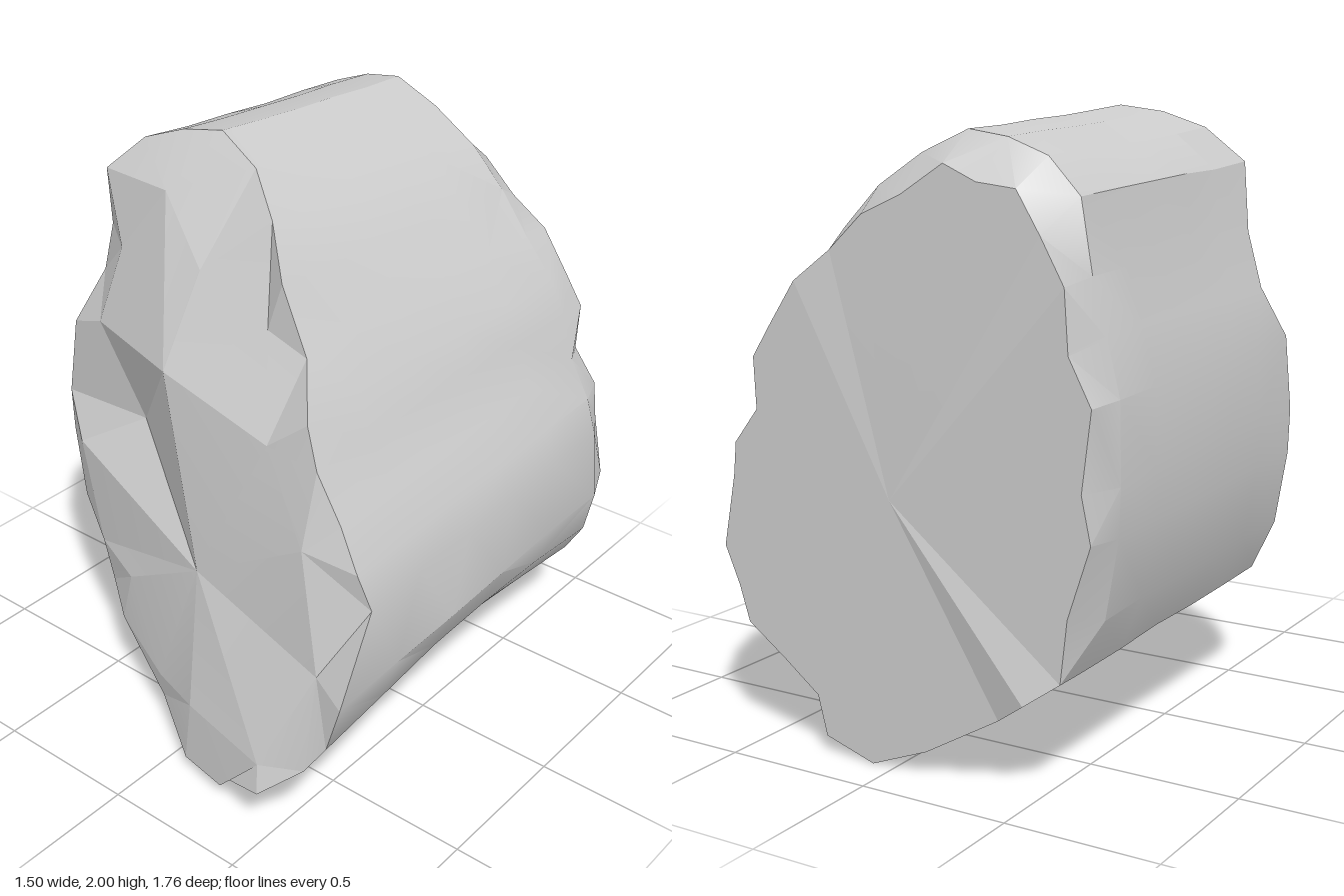
import * as THREE from 'three';
import { toCreasedNormals } from 'three/addons/utils/BufferGeometryUtils.js';

// Rim of the broken front face, counter-clockwise from the bottom: x, y, z
const RIM = [
  [0.08, 0.05, 0.76], [0.27, 0.06, 0.80], [0.33, 0.13, 0.82], [0.50, 0.21, 0.88],
  [0.64, 0.34, 0.82], [0.71, 0.45, 0.80], [0.745, 0.60, 0.78], [0.72, 0.85, 0.60],
  [0.68, 0.97, 0.62], [0.60, 1.10, 0.60], [0.51, 1.25, 0.60], [0.45, 1.37, 0.57],
  [0.34, 1.50, 0.44], [0.23, 1.70, 0.42], [0.10, 1.83, 0.31], [-0.05, 1.93, 0.21],
  [-0.22, 2.00, 0.17], [-0.36, 1.98, 0.20], [-0.50, 1.93, 0.23], [-0.61, 1.82, 0.30],
  [-0.65, 1.60, 0.25], [-0.70, 1.42, 0.25], [-0.745, 1.25, 0.36], [-0.75, 1.00, 0.40],
  [-0.745, 0.85, 0.40], [-0.70, 0.60, 0.41], [-0.62, 0.43, 0.41], [-0.51, 0.355, 0.48],
  [-0.40, 0.28, 0.55], [-0.13, 0.13, 0.64],
];

// Corners of the large fracture facets inside the rim
const FACETS = [
  [0.10, 0.27, 0.75], [0.45, 0.26, 0.82], [0.59, 0.60, 0.70], [0.50, 1.00, 0.66],
  [0.30, 1.25, 0.58], [0.18, 1.54, 0.43], [-0.10, 1.65, 0.42], [-0.33, 1.82, 0.32],
  [-0.52, 1.58, 0.34], [-0.56, 1.33, 0.42], [-0.41, 1.00, 0.38], [-0.66, 0.85, 0.45],
  [-0.55, 0.50, 0.48], [-0.34, 0.48, 0.56], [-0.13, 0.22, 0.65],
];
const CORE = [[0.04, 0.71, 0.63], [-0.13, 1.35, 0.57]];

// The rim carried back to the shoulder behind the walls
const SHOULDER = RIM.map(([x, y]) => [
  x > 0 && y > 1.1 ? x + 0.01 : x * (x > 0.2 ? 0.94 : 0.955),
  y - (y > 1.5 ? 0.055 : x > 0.2 ? 0 : 0.045),
  -0.72,
]);

// How far the flat back's edge is chipped away: most at the top and low on the left
const chipAt = (x, y, i) => {
  if (y > 1.72) return i % 2 ? 0.12 : 0.09;
  if (x > 0.3) return y < 1.2 ? (i % 2 ? 0.11 : 0.075) : (i % 2 ? 0.045 : 0.02);
  return y > 0.55 ? (i % 2 ? 0.08 : 0.03) : 0;
};
const BACK = SHOULDER.map(([x, y], i) => {
  const c = 1 - chipAt(x, y, i);
  // One splinter stands proud of the back
  const z = i === 27 ? -0.88 : y > 1.6 ? -0.825 : -0.845;
  return [x * c, 0.9 + (y - 0.9) * c, z];
});
const BACK_CENTRE = [[0, 0.85, -0.845]];

// Repeatable roughness in -1..1
const rough = (i, k) => {
  const s = Math.sin(i * 12.9898 + k * 78.233) * 43758.5453;
  return (s - Math.floor(s)) * 2 - 1;
};

// Ring along the walls, hollowed in two worn bands on the left side
const wallRing = (t, k) => RIM.map((p, i) => {
  const [x, y, z] = p.map((v, a) => v + (SHOULDER[i][a] - v) * t);
  const band = (height, width) => Math.exp(-(((y - height) / width) ** 2));
  const hollow = x > 0.3 ? Math.sin(Math.PI * t) * (0.045 * band(0.35, 0.14) + 0.03 * band(1.25, 0.1)) : 0;
  const d = 1 - 0.003 - hollow + rough(i, k) * 0.005;
  return [x * d, 1 + (y - 1) * d, z];
});

const dist = (a, b) => Math.hypot(a[0] - b[0], a[1] - b[1], a[2] - b[2]);

// Joins successive loops, which may differ in count, along the shorter diagonals
function loft(loops, crease) {
  const pos = [];
  for (let k = 0; k + 1 < loops.length; k++) {
    const A = loops[k], B = loops[k + 1];
    const endA = A.length > 1 ? A.length : 0;
    const endB = B.length > 1 ? B.length : 0;
    let i = 0, j = 0;
    while (i < endA || j < endB) {
      const a = A[i % A.length], b = B[j % B.length];
      const a2 = A[(i + 1) % A.length], b2 = B[(j + 1) % B.length];
      if (j >= endB || (i < endA && dist(a2, b) < dist(a, b2))) {
        pos.push(...a, ...b, ...a2);
        i++;
      } else {
        pos.push(...a, ...b, ...b2);
        j++;
      }
    }
  }
  const geo = new THREE.BufferGeometry();
  geo.setAttribute('position', new THREE.Float32BufferAttribute(pos, 3));
  return toCreasedNormals(geo, crease);
}

export function createModel() {
  const group = new THREE.Group();
  group.name = 'rock';
  const material = new THREE.MeshStandardMaterial({ color: 0xcccccc });
  const add = (name, loops, crease) => {
    const mesh = new THREE.Mesh(loft(loops, crease), material);
    mesh.name = name;
    group.add(mesh);
  };

  // Rough fractured front
  add('brokenFace', [CORE, FACETS, RIM], 0.15);
  // Long weathered sides running into the chipped back edge
  add('sides', [RIM, wallRing(0.2, 3), wallRing(0.4, 4), wallRing(0.6, 5), wallRing(0.8, 6), SHOULDER, BACK], 0.45);
  // Flat cut back
  add('backFace', [BACK, BACK_CENTRE], 0.1);
  return group;
}
